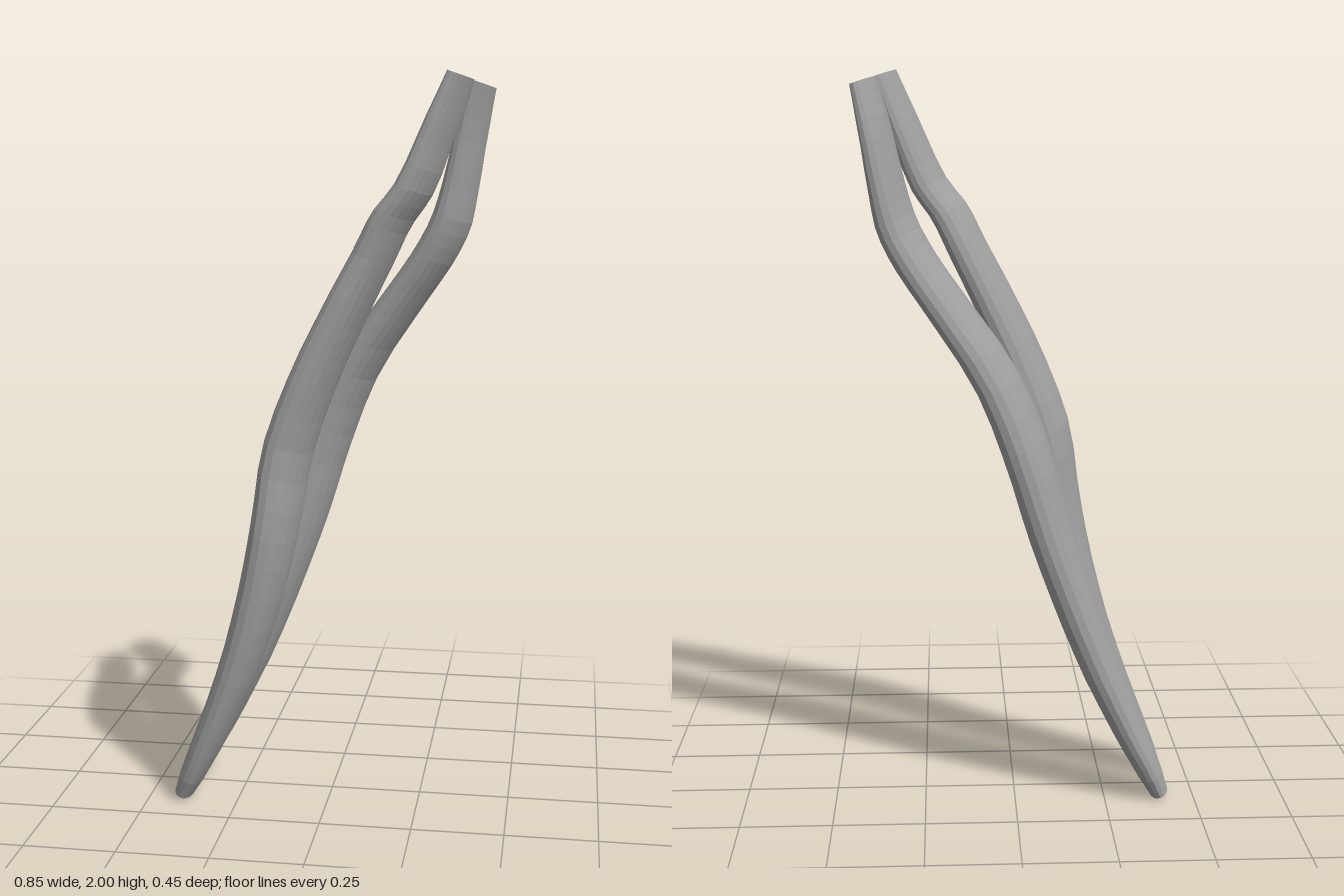
import * as THREE from 'three';

const ROWS = 32;
const SIDES = 18;

// Each station: [y, centre x, half extent in x, inner z, outer z, skew of the oval]
const FRONT = [
  [0.015, -0.405, 0.025, 0.04, 0.17, 0],
  [0.08, -0.375, 0.034, 0.04, 0.19, 0],
  [0.2, -0.32, 0.042, 0.04, 0.205, -0.05],
  [0.4, -0.24, 0.05, 0.042, 0.218, -0.1],
  [0.6, -0.18, 0.055, 0.04, 0.225, -0.15],
  [0.8, -0.137, 0.058, 0.033, 0.224, -0.2],
  [1.0, -0.105, 0.06, 0.018, 0.205, -0.25],
  [1.2, -0.035, 0.057, 0.01, 0.195, -0.25],
  [1.4, 0.058, 0.053, 0.004, 0.18, -0.25],
  [1.53, 0.124, 0.05, 0.004, 0.168, -0.25],
  [1.62, 0.168, 0.049, 0.012, 0.168, -0.28],
  [1.7, 0.226, 0.046, 0.014, 0.166, -0.3],
  [1.85, 0.288, 0.04, 0.006, 0.148, -0.33],
  [1.988, 0.341, 0.031, 0.002, 0.13, -0.33],
];
const BACK = [
  [0.01, -0.405, 0.025, -0.13, 0, 0],
  [0.08, -0.374, 0.034, -0.15, 0, 0],
  [0.2, -0.318, 0.042, -0.163, -0.001, -0.05],
  [0.4, -0.23, 0.05, -0.178, -0.004, -0.1],
  [0.6, -0.155, 0.055, -0.193, -0.008, -0.15],
  [0.8, -0.088, 0.058, -0.207, -0.02, -0.2],
  [1.0, -0.03, 0.06, -0.22, -0.032, -0.25],
  [1.2, 0.053, 0.057, -0.217, -0.04, -0.25],
  [1.4, 0.187, 0.053, -0.203, -0.038, -0.25],
  [1.51, 0.262, 0.052, -0.192, -0.03, -0.25],
  [1.6, 0.308, 0.05, -0.184, -0.027, -0.28],
  [1.7, 0.333, 0.045, -0.182, -0.032, -0.3],
  [1.85, 0.362, 0.039, -0.178, -0.035, -0.33],
  [1.968, 0.39, 0.031, -0.162, -0.035, -0.33],
];

// Loft skewed ovals along the stations and close both ends
function stripGeometry(stations) {
  const centres = new THREE.CatmullRomCurve3(
    stations.map(([y, x, , z0, z1]) => new THREE.Vector3(x, y, (z0 + z1) / 2)));
  const sizes = new THREE.CatmullRomCurve3(
    stations.map(([, , h, z0, z1, k]) => new THREE.Vector3(h, (z1 - z0) / 2, k)),
    false, 'catmullrom', 0.3);
  const positions = [];
  const indices = [];
  for (let i = 0; i <= ROWS; i++) {
    const c = centres.getPoint(i / ROWS);
    const { x: half, y: width, z: skew } = sizes.getPoint(i / ROWS);
    const thick = Math.sqrt(Math.max(half ** 2 - (skew * width) ** 2, 0.0003));
    for (let j = 0; j < SIDES; j++) {
      const a = (j / SIDES) * Math.PI * 2;
      const dz = width * Math.cos(a);
      const dx = skew * dz + thick * Math.sign(Math.sin(a)) * Math.abs(Math.sin(a)) ** 0.9;
      positions.push(c.x + dx, c.y - 0.35 * dx, c.z + dz);
    }
  }
  for (let i = 0; i < ROWS; i++) {
    for (let j = 0; j < SIDES; j++) {
      const a = i * SIDES + j;
      const b = i * SIDES + (j + 1) % SIDES;
      indices.push(a, b, b + SIDES, a, b + SIDES, a + SIDES);
    }
  }
  // Flat end caps
  const top = ROWS * SIDES;
  for (let j = 1; j < SIDES - 1; j++) {
    indices.push(0, j + 1, j, top, top + j, top + j + 1);
  }
  const geometry = new THREE.BufferGeometry();
  geometry.setAttribute('position', new THREE.Float32BufferAttribute(positions, 3));
  geometry.setIndex(indices);
  geometry.computeVertexNormals();
  return geometry;
}

export function createModel() {
  const group = new THREE.Group();
  group.name = 'curvedStrips';
  const grey = new THREE.MeshStandardMaterial({ color: 0xa0a0a0, flatShading: true });
  grey.name = 'grey';
  for (const [name, stations] of [['frontStrip', FRONT], ['backStrip', BACK]]) {
    const mesh = new THREE.Mesh(stripGeometry(stations), grey);
    mesh.name = name;
    group.add(mesh);
  }
  return group;
}
